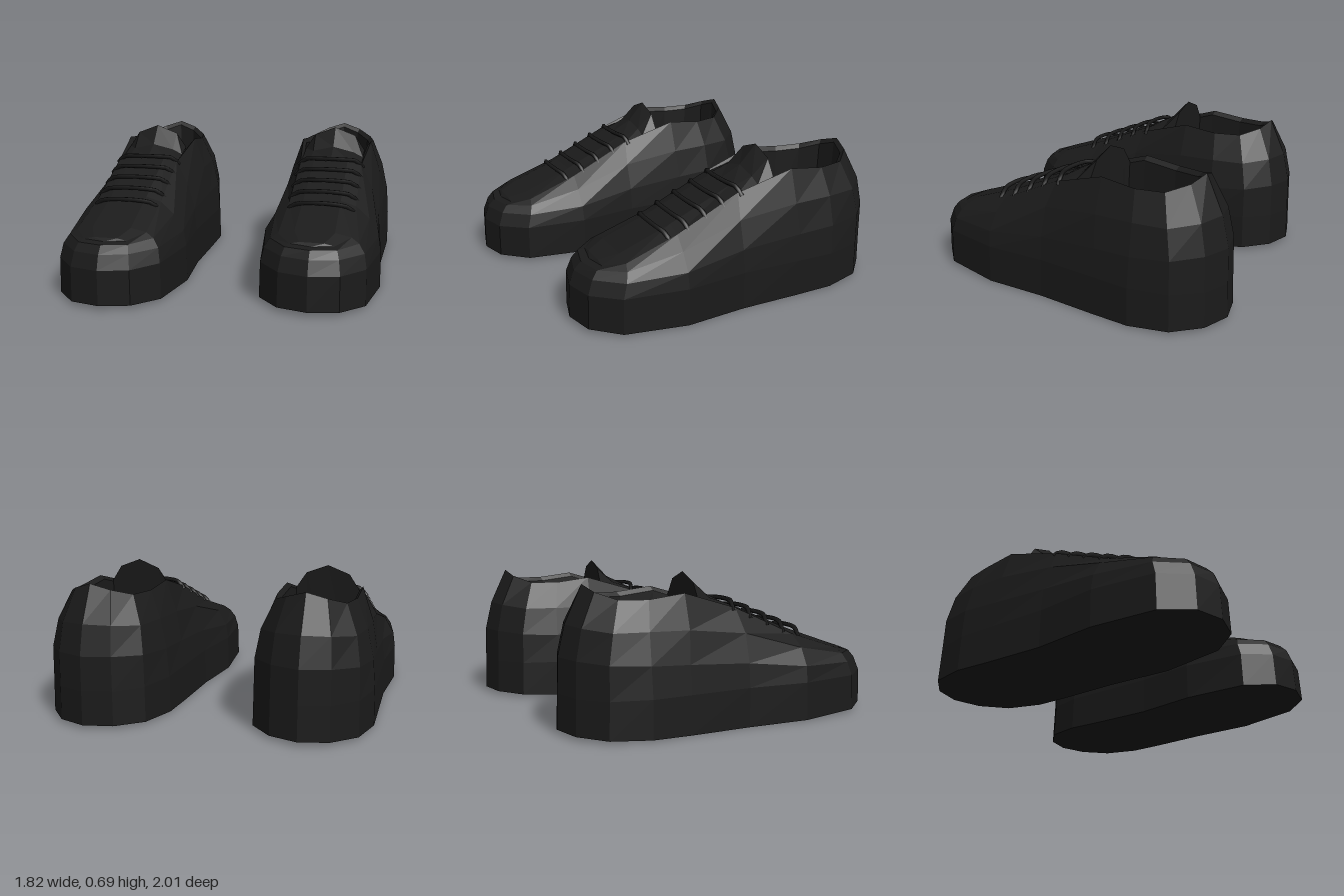
import * as THREE from 'three';

const upperMat = new THREE.MeshStandardMaterial({ color: 0x1b1b1b, side: THREE.DoubleSide });
upperMat.name = 'charcoal upper';
const soleMat = new THREE.MeshStandardMaterial({ color: 0x1a1a1a });
soleMat.name = 'black sole';
const laceMat = new THREE.MeshStandardMaterial({ color: 0x181818 });
laceMat.name = 'black lace';

// Half cross-section loops from heel tip to toe tip: [half width, height, length]
const soleHalf = [[0, -.778], [.135, -.737], [.242, -.626], [.284, -.446], [.277, -.26],
  [.266, .04], [.287, .336], [.241, .63], [.137, .752], [0, .788]]
  .map(([x, z]) => [x, .02 * (z / .78) ** 2, z]);
const soleTopHalf = soleHalf.map(([x, , z]) => [x * .988, .18, z * .993]);
const quarterHalf = [[0, .34, -.768], [.132, .34, -.728], [.236, .33, -.62], [.27, .32, -.446], [.262, .31, -.26],
  [.252, .29, .04], [.272, .255, .336], [.226, .245, .605], [.126, .245, .722], [0, .245, .758]];
const shoulderHalf = [[0, .48, -.735], [.122, .475, -.7], [.215, .46, -.595], [.238, .46, -.44], [.235, .455, -.25],
  [.215, .42, .04], [.225, .335, .336], [.2, .285, .59], [.115, .28, .695], [0, .28, .724]];
const rimHalf = [[0, .65, -.655], [.09, .622, -.63], [.16, .592, -.55], [.185, .59, -.42], [.183, .61, -.25],
  [.155, .53, .02], [.16, .39, .33], [.165, .308, .58], [.1, .288, .665], [0, .285, .685]];
const liningHalf = rimHalf.map(([x, y, z]) => [x * .9, y - .02, z * .975]);
const floorHalf = rimHalf.map(([x, , z]) => [x * .88, .25, z * .96]);

// Mirrors a half loop into a closed loop
const loop = half => [...half, ...half.slice(1, -1).reverse().map(([x, y, z]) => [-x, y, z])];
const collapse = (half, p) => half.map(() => p);

// Facetted skin between successive rows of points
function loft(rows, closed) {
  const pos = [];
  for (let i = 0; i < rows.length - 1; i++) {
    const n = rows[i].length;
    for (let j = 0; j < (closed ? n : n - 1); j++) {
      const k = (j + 1) % n;
      const a = rows[i][j], b = rows[i][k], c = rows[i + 1][k], d = rows[i + 1][j];
      pos.push(...a, ...d, ...b, ...b, ...d, ...c);
    }
  }
  const geo = new THREE.BufferGeometry();
  geo.setAttribute('position', new THREE.Float32BufferAttribute(pos, 3));
  geo.computeVertexNormals();
  return geo;
}

function addPart(group, name, geometry, material) {
  const mesh = new THREE.Mesh(geometry, material);
  mesh.name = name;
  group.add(mesh);
}

function createShoe(name) {
  const shoe = new THREE.Group();
  shoe.name = name;

  // Sole: closed underneath, thick vertical wall
  addPart(shoe, 'sole', loft([collapse(soleHalf, [0, 0, 0]), soleHalf, soleTopHalf].map(loop), true), soleMat);

  // Upper shell, collar, lining and insole
  addPart(shoe, 'upper', loft([soleTopHalf, quarterHalf, shoulderHalf, rimHalf].map(loop), true), upperMat);
  addPart(shoe, 'lining', loft([rimHalf, liningHalf, floorHalf, collapse(floorHalf, [0, .25, -.2])].map(loop), true), upperMat);

  // Vamp: rows across the instep and toe box with a raised middle
  const ridge = [.547, .418, .328, .3, .285];
  const vamp = rimHalf.slice(5).map(([x, y, z], i) => {
    const mid = ridge[i] * .8 + y * .2;
    return [[-x, y, z], [-x * .55, mid, z], [x * .55, mid, z], [x, y, z]];
  }).reverse();
  addPart(shoe, 'vamp', loft(vamp, false), upperMat);

  // Tongue: arched flap rising to a blunt point, with its back face hanging inside
  const arch = (edge, shoulder, peak, z) =>
    [[-.155, edge, z], [-.105, shoulder, z], [0, peak, z], [.105, shoulder, z], [.155, edge, z]];
  const tongue = [arch(.525, .54, .548, .02), arch(.55, .575, .6, -.085),
    arch(.575, .65, .69, -.17), arch(.25, .25, .25, -.155)];
  addPart(shoe, 'tongue', loft(tongue, false), upperMat);

  // Laces: five bowed cords over the instep
  for (let i = 0; i < 5; i++) {
    const z = .015 + i * .09;
    const top = .557 - i * .037;
    const side = top - .018 - i * .002;
    const path = new THREE.CatmullRomCurve3([
      [-.165, side - .025, z - .01], [-.13, side + .01, z], [-.07, top, z + .02],
      [.07, top, z + .02], [.13, side + .01, z], [.165, side - .025, z - .01],
    ].map(p => new THREE.Vector3(...p)));
    addPart(shoe, 'lace', new THREE.TubeGeometry(path, 12, .011, 5), laceMat);
  }
  return shoe;
}

export function createModel() {
  const pair = new THREE.Group();
  pair.name = 'pairOfSneakers';
  const right = createShoe('rightShoe');
  right.position.set(-.313, 0, .35);
  right.rotation.y = .732;
  const left = createShoe('leftShoe');
  left.position.set(.322, 0, -.35);
  left.rotation.y = .69;
  pair.add(right, left);
  return pair;
}
